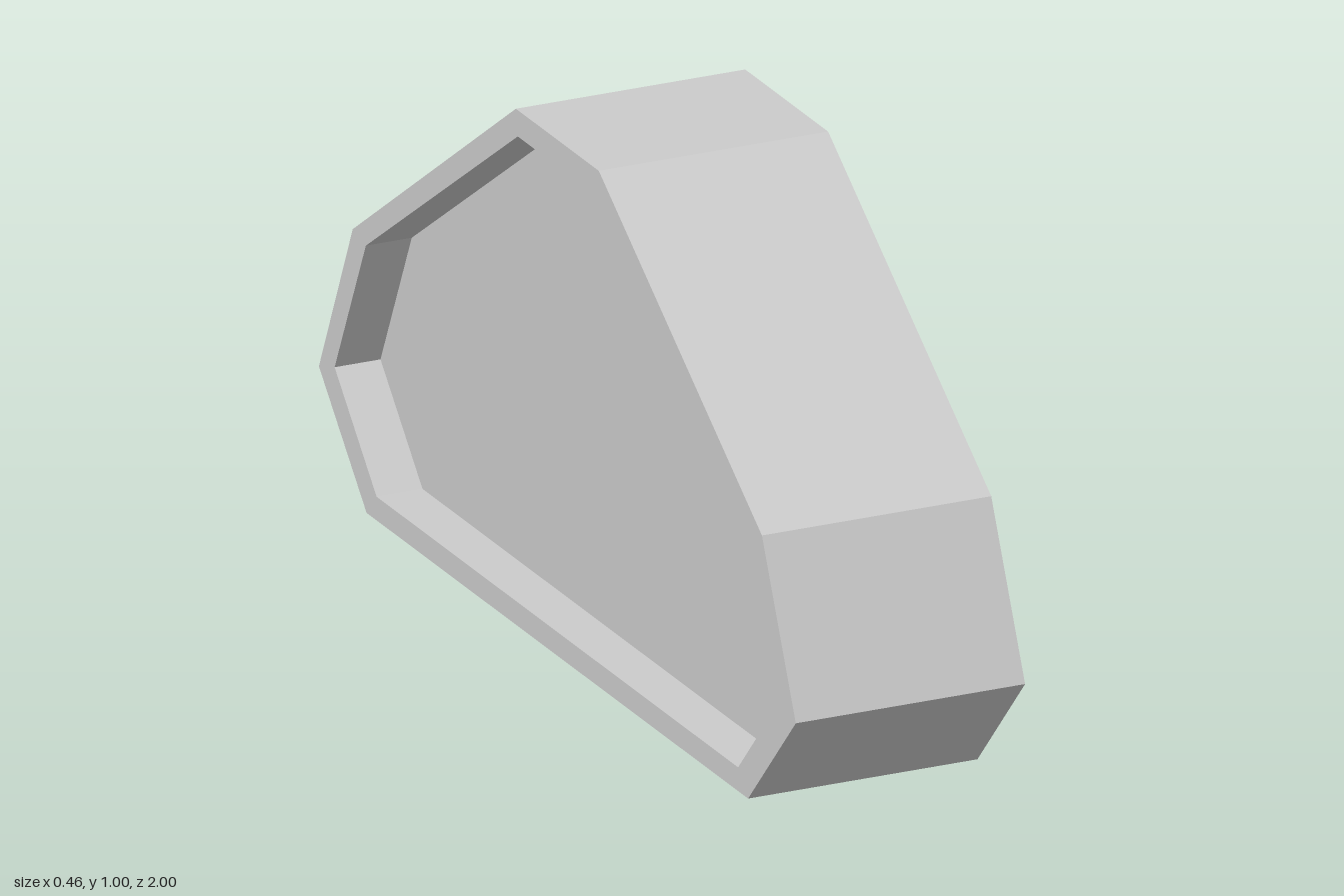
import * as THREE from 'three';

const HALF_WIDTH = 0.23;
const LEFT_RECESS = 0.023; // shallow recess on +x
const RIGHT_RECESS = 0.092; // deep recess on -x

// Half profiles as [z, y], bottom to top
const OUTER = [[0.8, 0], [1, 0.215], [0.858, 0.53], [0.174, 1]];
const INNER = [[0.758, 0.046], [0.934, 0.236], [0.803, 0.517], [0.166, 0.949]];

// Mirror a half profile into a closed outline
function outline(half) {
  const mirrored = half.map(([z, y]) => [-z, y]).reverse();
  return [...half, ...mirrored].map(([z, y]) => new THREE.Vector2(z, y));
}

// Extrude a side profile across the width, from x0 to x1
function slab(name, shape, x0, x1, material) {
  const geometry = new THREE.ExtrudeGeometry(shape, { depth: x1 - x0, bevelEnabled: false });
  geometry.rotateY(Math.PI / 2);
  geometry.translate(x0, 0, 0);
  const mesh = new THREE.Mesh(geometry, material);
  mesh.name = name;
  return mesh;
}

export function createModel() {
  const group = new THREE.Group();
  group.name = 'facetedCase';
  const material = new THREE.MeshStandardMaterial({ color: 0xcccccc, flatShading: true });

  // Outer band with its rim on both sides
  const rim = new THREE.Shape(outline(OUTER));
  rim.holes.push(new THREE.Path(outline(INNER)));
  group.add(slab('outerBand', rim, -HALF_WIDTH, HALF_WIDTH, material));

  // Core filling the band, set back by a different depth on each side
  const core = new THREE.Shape(outline(INNER));
  group.add(slab('recessedCore', core, -HALF_WIDTH + RIGHT_RECESS, HALF_WIDTH - LEFT_RECESS, material));

  return group;
}
